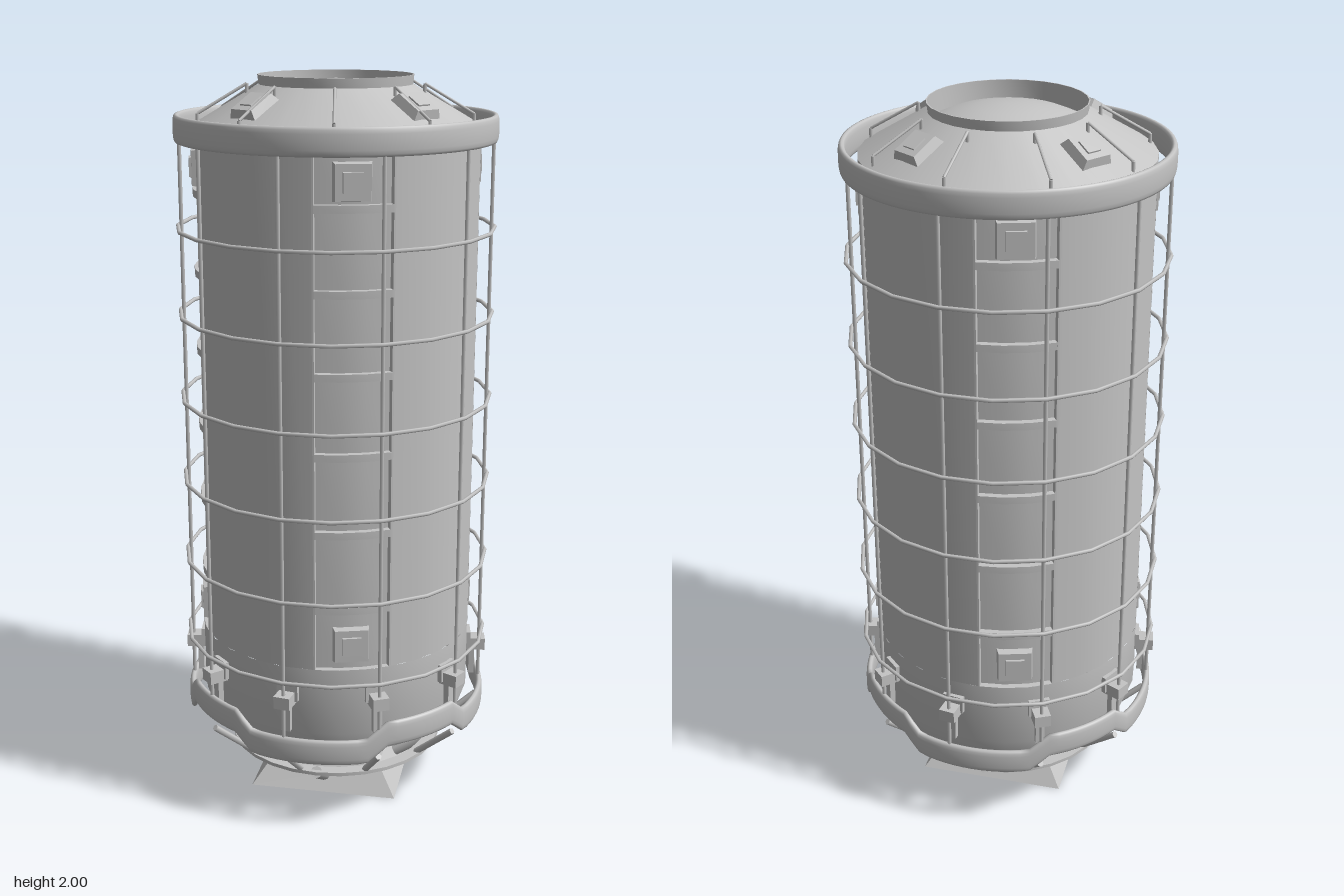
import * as THREE from 'three';
import { toCreasedNormals } from 'three/addons/utils/BufferGeometryUtils.js';
import { ParametricGeometry } from 'three/addons/geometries/ParametricGeometry.js';

const rad = THREE.MathUtils.degToRad;
const polar = (az, r, y) => new THREE.Vector3(r * Math.sin(az), y, r * Math.cos(az));

export function createModel() {
  const model = new THREE.Group();
  const grey = new THREE.MeshStandardMaterial({ color: 0xc4c4c4 });
  grey.name = 'light grey metal';

  const add = (name, geo, parent = model) => {
    const mesh = new THREE.Mesh(geo, grey);
    mesh.name = name;
    parent.add(mesh);
    return mesh;
  };
  // Group at an angle around the axis, local +z outward, tilted back by tilt
  const station = (name, az, r, y, tilt = 0) => {
    const g = new THREE.Group();
    g.name = name;
    g.position.copy(polar(az, r, y));
    g.rotation.set(tilt, az, 0, 'YXZ');
    model.add(g);
    return g;
  };
  const box = (name, parent, w, h, d, x, y, z) =>
    add(name, new THREE.BoxGeometry(w, h, d), parent).position.set(x, y, z);
  const rod = (name, a, b, r, sides = 6) => {
    const mesh = add(name, new THREE.CylinderGeometry(r, r, a.distanceTo(b), sides));
    mesh.position.copy(a).add(b).multiplyScalar(0.5);
    mesh.quaternion.setFromUnitVectors(new THREE.Vector3(0, 1, 0), b.clone().sub(a).normalize());
  };
  const lathe = (pts, seg, start = 0, len = Math.PI * 2) => toCreasedNormals(
    new THREE.LatheGeometry(pts.map(p => new THREE.Vector2(...p)), seg, start, len), 0.5);
  // Four-sided tapered block with flat faces; half widths at base and top
  const taper = (base, top, h) => {
    const g = new THREE.CylinderGeometry(top * Math.SQRT2, base * Math.SQRT2, h, 4)
      .rotateY(Math.PI / 4).toNonIndexed();
    g.computeVertexNormals();
    return g;
  };

  // Hull ends: lower cone and dome; shoulder, thin collar and shallow upper dome
  const wallR = 0.383, recessR = 0.366, wallLow = 0.47, wallHigh = 1.84;
  add('lowerHull', lathe([[0, 0.1], [0.12, 0.115], [0.2, 0.15], [0.215, 0.13], [0.36, 0.213],
    [wallR, 0.28], [wallR, wallLow]], 28));
  add('shoulder', lathe([[wallR, wallHigh], [wallR, 1.87], [0.203, 1.975], [0.206, 2],
    [0.203, 2], [0.202, 1.945], [0.15, 1.967], [0.08, 1.983], [0, 1.99]], 28));

  // Bumper bands: the lower one steps up at the diagonals
  const soft = t => Math.sign(t) * Math.pow(Math.abs(t), 0.65);
  const band = (name, yAt) => add(name, new ParametricGeometry((u, v, target) => {
    const az = u * Math.PI * 2, t = v * Math.PI * 2;
    target.copy(polar(az, 0.42 + 0.01 * soft(Math.cos(t)), yAt(az) + 0.036 * soft(Math.sin(t))));
  }, 96, 16));
  band('upperBumper', () => 1.865);
  band('lowerBumper', az => {
    const off = Math.abs(THREE.MathUtils.euclideanModulo(az, Math.PI / 2) - Math.PI / 4);
    return 0.245 + 0.045 * THREE.MathUtils.clamp((rad(23) - off) / rad(8), 0, 1);
  });

  // Cage hoops
  for (let i = 0; i < 6; i++) {
    add('cageHoop', new THREE.TorusGeometry(0.427, 0.0055, 6, 20).rotateX(Math.PI / 2).rotateY(rad(9)))
      .position.y = 0.442 + i * 0.232;
  }

  // Cage rods, clamps and sloping struts
  for (let i = 0; i < 10; i++) {
    const az = rad(-9 + 36 * i);
    rod('cageRod', polar(az, 0.418, 0.28), polar(az, 0.418, 1.86), 0.0055);
    rod('lowerStrut', polar(az, 0.412, 0.22), polar(az, 0.29, 0.115), 0.009);
    const clamp = station('clamp', az, 0.407, 0.38);
    box('clampBlock', clamp, 0.045, 0.035, 0.055, 0, 0.005, 0);
    box('clampFoot', clamp, 0.026, 0.1, 0.016, 0, -0.04, -0.01);
    box('clampPad', clamp, 0.06, 0.05, 0.014, 0, 0.02, -0.022);
  }

  // Lower ring plate and its struts to the base
  add('lowerRing', lathe([[0.27, 0.107], [0.305, 0.107], [0.305, 0.117], [0.27, 0.117], [0.27, 0.107]], 28));
  for (let i = 0; i < 4; i++) {
    const az = i * Math.PI / 2;
    rod('baseStrut', polar(az, 0.295, 0.112), polar(az, 0.17, 0.035), 0.017, 8);
  }

  // Base plate with sloping sides
  add('basePlate', taper(0.208, 0.155, 0.075)).position.y = 0.0375;
  add('baseNeck', taper(0.1, 0.08, 0.04)).position.y = 0.093;

  // Recessed column profile with ledges flush with the wall
  const columnProfile = [[wallR, wallLow], [recessR, wallLow]];
  for (let j = 0; j < 6; j++) {
    const y = 0.64 + j * 0.212;
    columnProfile.push([recessR, y - 0.01], [wallR, y - 0.01], [wallR, y + 0.01], [recessR, y + 0.01]);
  }
  columnProfile.push([recessR, wallHigh], [wallR, wallHigh]);

  // Four wall sections alternating with panel columns and hatches
  for (let i = 0; i < 4; i++) {
    const turn = i * Math.PI / 2, start = turn + rad(2), span = rad(31), mid = turn + rad(17);
    add('panelColumn', lathe(columnProfile, 3, start, span));
    add('wallSection', lathe([[wallR, wallLow], [wallR, wallHigh]], 5, start + span, Math.PI / 2 - span));
    for (const az of [start, start + span]) {
      const side = station('panelSide', az, (wallR + recessR) / 2, (wallLow + wallHigh) / 2);
      box('panelEdge', side, 0.005, wallHigh - wallLow, wallR - recessR, 0, 0, 0);
    }
    for (const y of [0.54, 1.765]) {
      const hatch = station('wallHatch', mid, 0.37, y, Math.PI / 2);
      add('hatchFrame', taper(0.05, 0.045, 0.028), hatch);
      add('hatchCover', taper(0.03, 0.025, 0.04), hatch);
    }

    // Shoulder hatches
    const top = station('shoulderHatch', turn + rad(55), 0.288, 1.931, 0.53);
    add('hatchFrame', taper(0.05, 0.038, 0.032), top);
    add('hatchCover', taper(0.025, 0.02, 0.04), top);
  }

  // Nine handrails on the upper shoulder
  for (let i = 0; i < 9; i++) {
    const az = rad(90 + 40 * i);
    const inner = polar(az, 0.235, 1.978), outer = polar(az, 0.365, 1.903);
    rod('handrail', inner, outer, 0.004);
    rod('handrailPost', polar(az, 0.235, 1.95), inner, 0.005);
    rod('handrailPost', polar(az, 0.365, 1.875), outer, 0.005);
  }

  return model;
}
